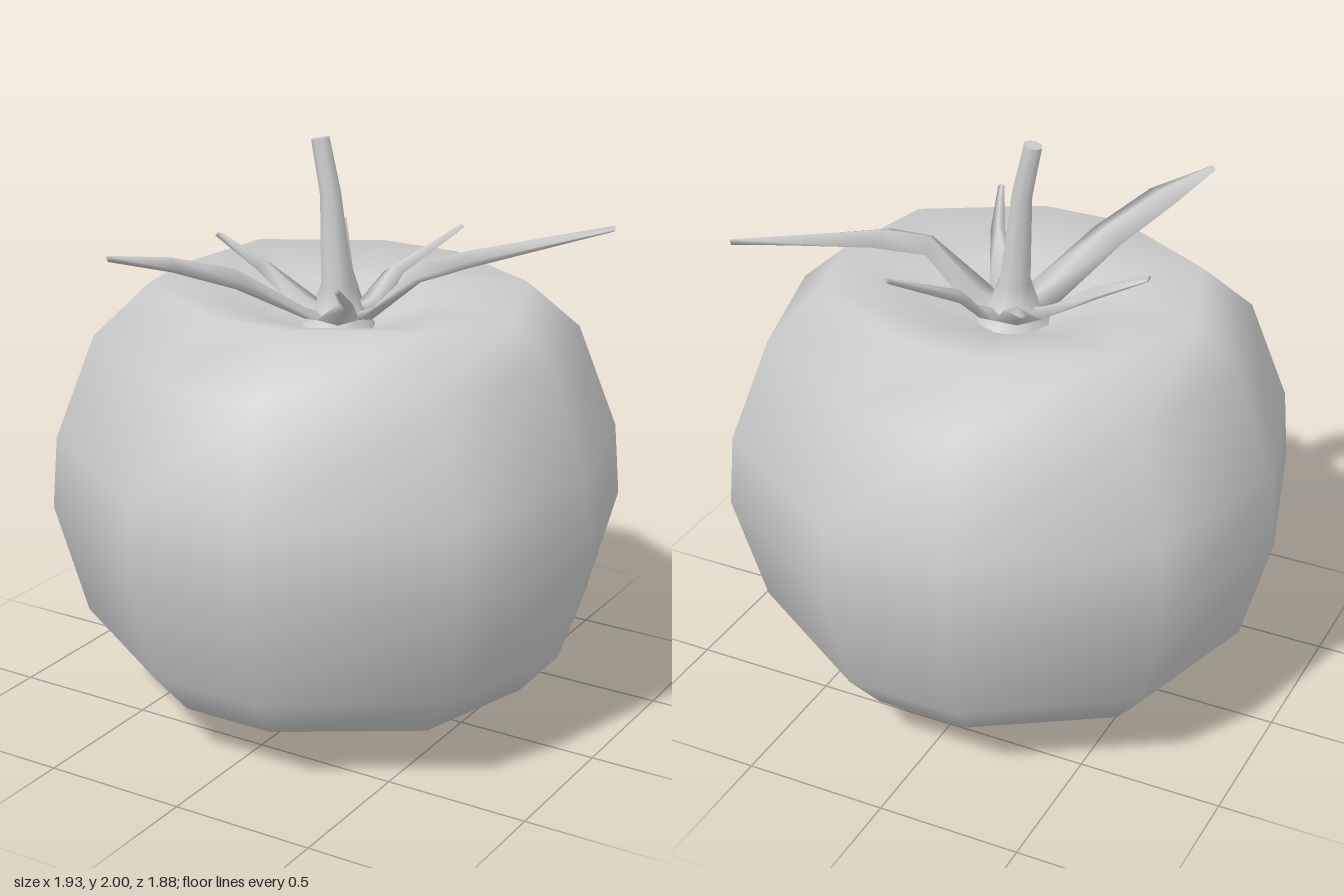
import * as THREE from 'three';

const material = new THREE.MeshStandardMaterial({ color: 0xcccccc });

// Skin closed cross-sections (all with the same number of [x, y, z] points)
function loft(name, sections) {
  const n = sections[0].length;
  const index = [];
  for (let i = 0; i < sections.length - 1; i++) {
    for (let j = 0; j < n; j++) {
      const a = i * n + j, b = i * n + (j + 1) % n;
      index.push(a, b, b + n, a, b + n, a + n);
    }
  }
  const geometry = new THREE.BufferGeometry();
  geometry.setAttribute('position', new THREE.Float32BufferAttribute(sections.flat(2), 3));
  geometry.setIndex(index);
  geometry.computeVertexNormals();
  const mesh = new THREE.Mesh(geometry, material);
  mesh.name = name;
  return mesh;
}

// Ten-sided fruit with a rounded rim and a dimple at the top
function createFruit() {
  const quarter = [[1, 0], [0.83, 0.605], [0.228, 1]];
  const half = [...quarter, [-0.228, 1], [-0.83, 0.605]];
  const outline = [...half, ...half.map(([x, z]) => [-x, -z])];
  // height, x radius, z radius, drop at the two side corners
  const rings = [
    [0, 0.01, 0.01, 0], [0, 0.25, 0.2, 0], [0.18, 0.72, 0.7, 0], [0.34, 0.86, 0.835, 0],
    [0.73, 0.965, 0.94, 0], [0.98, 0.945, 0.92, 0], [1.34, 0.81, 0.787, 0],
    [1.51, 0.65, 0.56, 0.03], [1.44, 0.33, 0.3, 0], [1.35, 0.1, 0.1, 0], [1.34, 0.002, 0.002, 0],
  ];
  return loft('fruit', rings.map(([y, rx, rz, drop]) =>
    outline.map(([x, z]) => [x * rx, y - (z === 0 ? drop : 0), -z * rz])));
}

// Bent, tapering stem with a flared foot and a flat cut end
function createStem() {
  const sides = 8;
  // centre x, centre y, radius, tilt of the section
  const stations = [
    [0, 1.36, 0.13, 0], [0, 1.42, 0.085, 0], [-0.005, 1.5, 0.055, 0], [-0.03, 1.81, 0.036, 0.12],
    [-0.07, 1.995, 0.031, 0.2], [-0.07, 1.995, 0.031, 0.2], [-0.07, 1.995, 0.001, 0.2],
  ];
  return loft('stem', stations.map(([x, y, r, tilt]) =>
    Array.from({ length: sides }, (_, j) => {
      const a = (j / sides) * Math.PI * 2;
      return [x + r * Math.cos(a), y + r * Math.cos(a) * tilt, -r * Math.sin(a)];
    })));
}

// Six pointed sepals that share the corners of a small hub
function createSepals() {
  const hub = [[0.13, -0.09], [0.13, 0.08], [0.01, 0.155], [-0.14, 0.06], [-0.14, -0.08], [0, -0.155]];
  // stations beyond the hub: right edge x, z, left edge x, z, height, thickness
  const sepals = [
    [[0.27, -0.11, 0.32, 0.035, 1.58, 0.07], [0.42, -0.21, 0.43, -0.05, 1.62, 0.06],
      [0.765, -0.51, 0.785, -0.49, 1.69, 0.02]],
    [[0.215, 0.26, 0.17, 0.28, 1.53, 0.04], [0.265, 0.42, 0.245, 0.43, 1.62, 0.02]],
    [[-0.13, 0.36, -0.27, 0.28, 1.57, 0.07], [-0.245, 0.57, -0.37, 0.48, 1.65, 0.05],
      [-0.4, 0.73, -0.43, 0.71, 1.7, 0.02]],
    [[-0.3, 0.04, -0.3, -0.05, 1.52, 0.05], [-0.485, 0.018, -0.485, -0.022, 1.61, 0.02]],
    [[-0.165, -0.22, -0.07, -0.21, 1.5, 0.05], [-0.25, -0.41, -0.225, -0.425, 1.61, 0.02]],
    [[0.06, -0.2, 0.13, -0.21, 1.51, 0.05], [0.22, -0.445, 0.245, -0.43, 1.64, 0.02]],
  ];
  const group = new THREE.Group();
  group.name = 'sepals';
  sepals.forEach((outer, i) => {
    const stations = [[0, 0, 0, 0, 1.38, 0.02], [...hub[i], ...hub[(i + 1) % 6], 1.42, 0.04], ...outer];
    const sections = stations.map(([rx, rz, lx, lz, y, t]) => {
      const x = (rx + lx) / 2, z = (rz + lz) / 2;
      return [[rx, y, rz], [x, y + t / 2, z], [lx, y, lz], [x, y - t / 2, z]];
    });
    // Close the tip
    const [rx, rz, lx, lz, y] = outer[outer.length - 1];
    sections.push(Array(4).fill([(rx + lx) / 2, y, (rz + lz) / 2]));
    group.add(loft('sepal' + (i + 1), sections));
  });
  return group;
}

export function createModel() {
  const model = new THREE.Group();
  model.name = 'tomato';
  model.add(createFruit(), createStem(), createSepals());
  return model;
}
